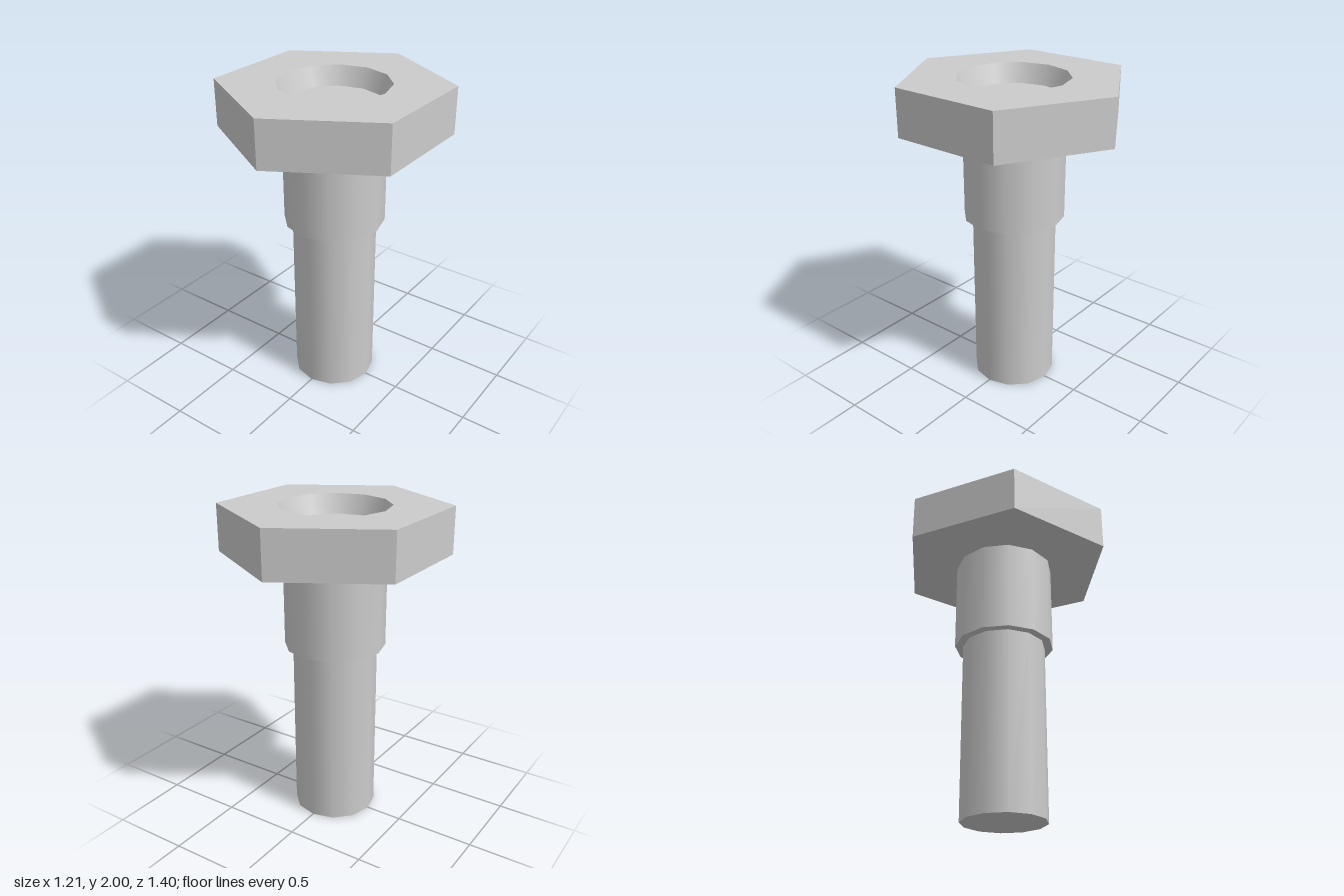
import * as THREE from 'three';

const SIDES = 12;
const HEAD_R = 0.7, HEAD_BOTTOM = 1.71, TOP = 2;
const COLLAR_R = 0.315, COLLAR_BOTTOM = 1.13;
const SHANK_R = 0.263;
const RIM_R = 0.34, FLOOR_R = 0.298, FLOOR_Y = 1.88;

// Corners of a regular polygon, with one corner on the z axis
function corners(radius, sides) {
  return Array.from({ length: sides }, (_, i) => {
    const a = Math.PI / 2 + (i / sides) * Math.PI * 2;
    return new THREE.Vector2(Math.cos(a) * radius, Math.sin(a) * radius);
  });
}

export function createModel() {
  const group = new THREE.Group();
  const smooth = new THREE.MeshStandardMaterial({ color: 0xcccccc });
  const flat = new THREE.MeshStandardMaterial({ color: 0xcccccc, flatShading: true });
  const inner = new THREE.MeshStandardMaterial({ color: 0xcccccc, side: THREE.BackSide });

  function add(name, geometry, material, y) {
    const mesh = new THREE.Mesh(geometry, material);
    mesh.name = name;
    mesh.position.y = y;
    group.add(mesh);
  }

  // Open prism or cone wall between two heights
  function wall(name, topR, bottomR, bottom, top, sides, material) {
    const geometry = new THREE.CylinderGeometry(topR, bottomR, top - bottom, sides, 1, true);
    add(name, geometry, material, (top + bottom) / 2);
  }

  // Horizontal polygon face, optionally with a twelve-sided hole
  function face(name, radius, sides, holeR, y, up) {
    const shape = new THREE.Shape(corners(radius, sides));
    if (holeR) shape.holes.push(new THREE.Path(corners(holeR, SIDES)));
    const geometry = new THREE.ShapeGeometry(shape);
    geometry.rotateX(up ? -Math.PI / 2 : Math.PI / 2);
    add(name, geometry, flat, y);
  }

  // Hexagonal head
  wall('headSides', HEAD_R, HEAD_R, HEAD_BOTTOM, TOP, 6, flat);
  face('headTop', HEAD_R, 6, RIM_R, TOP, true);
  face('headUnderside', HEAD_R, 6, COLLAR_R, HEAD_BOTTOM, false);

  // Tapered recess in the head
  wall('recessWall', RIM_R, FLOOR_R, FLOOR_Y, TOP, SIDES, inner);
  face('recessFloor', FLOOR_R, SIDES, 0, FLOOR_Y, true);

  // Wide collar and its step
  wall('collar', COLLAR_R, COLLAR_R, COLLAR_BOTTOM, HEAD_BOTTOM, SIDES, smooth);
  face('collarStep', COLLAR_R, SIDES, SHANK_R, COLLAR_BOTTOM, false);

  // Narrow shank
  wall('shank', SHANK_R, SHANK_R, 0, COLLAR_BOTTOM, SIDES, smooth);
  face('shankEnd', SHANK_R, SIDES, 0, 0, false);

  return group;
}
